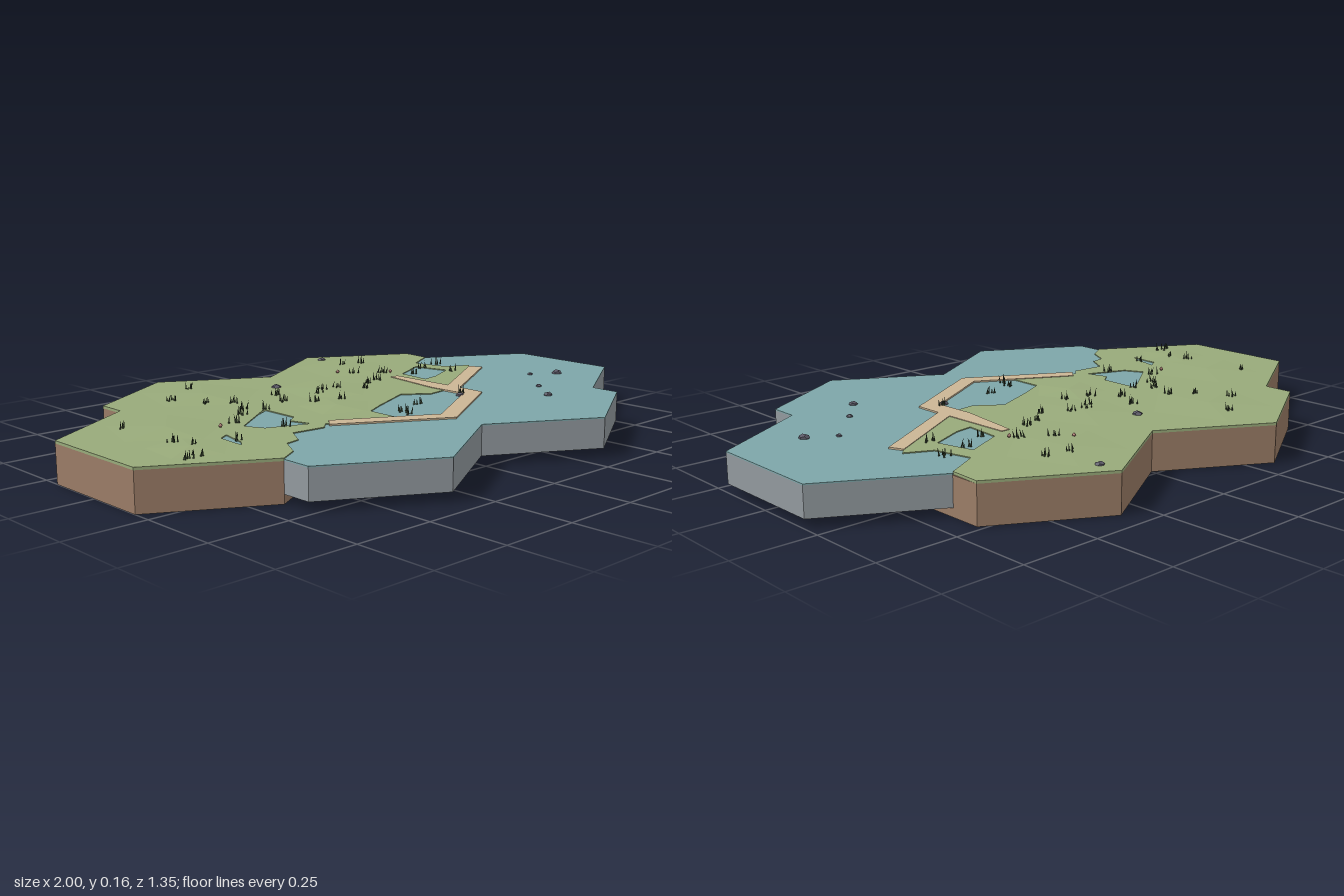
import * as THREE from 'three';
import { mergeGeometries } from 'three/addons/utils/BufferGeometryUtils.js';

const mat = (name, color) => {
  const m = new THREE.MeshStandardMaterial({ color });
  m.name = name;
  return m;
};

// Flat prism from [x, z] outline points, between two heights
function slab(name, points, y0, y1, material, holes = []) {
  const toVec = ([x, z]) => new THREE.Vector2(x, -z);
  const shape = new THREE.Shape(points.map(toVec));
  for (const h of holes) shape.holes.push(new THREE.Path(h.map(toVec)));
  const geo = new THREE.ExtrudeGeometry(shape, { depth: y1 - y0, bevelEnabled: false });
  geo.rotateX(-Math.PI / 2);
  geo.translate(0, y0, 0);
  const mesh = new THREE.Mesh(geo, material);
  mesh.name = name;
  return mesh;
}

export function createModel() {
  const group = new THREE.Group();
  let seed = 7;
  const rand = () => (seed = (seed * 16807) % 2147483647) / 2147483647;

  const grass = mat('grass green', 0x98aa7a);
  const water = mat('water blue', 0x7da6a9);
  const sand = mat('sand', 0xcbb594);
  const dirt = mat('dirt brown', 0x9a7c66);
  const stone = mat('stone grey', 0x92999e);
  const blade = mat('blade dark green', 0x37442f);
  const rock = mat('rock grey', 0x5c5a68);
  const petal = mat('petal pink', 0xb88478);

  // Outline of four overlapping hexagons; the water block is the same turned half round
  const land = [
    [-1, 0.192], [-0.667, 0.385], [-0.333, 0.192], [0, 0.385], [0.333, 0.192],
    [0.333, 0.096], [0.667, -0.096], [0.667, -0.481], [0.333, -0.674], [0, -0.481],
    [-0.333, -0.674], [-0.667, -0.481], [-0.667, -0.385], [-1, -0.192],
  ];
  const sea = land.map(([x, z]) => [-x, -z]);

  group.add(slab('landBase', land, 0, 0.117, dirt));
  group.add(slab('waterBase', sea, 0.027, 0.118, stone));
  group.add(slab('waterSurface', sea, 0.118, 0.122, water));

  // Meadow with an uneven shore and ponds cut through to the water
  const shore = [
    [-1, 0.192], [-0.667, 0.385], [-0.6, 0.345], [-0.56, 0.27], [-0.51, 0.26],
    [-0.47, 0.19], [-0.36, 0.2], [-0.33, 0.17], [-0.12, 0.26], [-0.12, 0.14],
    [-0.04, 0.1], [0.12, 0.03], [0.2, 0.09], [0.28, 0.08], [0.34, 0.06],
    [0.6, -0.09], [0.66, -0.16], [0.58, -0.2], [0.55, -0.32], [0.662, -0.38],
  ];
  const ponds = [
    [[-0.34, -0.1], [-0.52, 0.03], [-0.49, 0.09], [-0.36, 0.14], [-0.38, 0.07], [-0.34, 0.04]],
    [[-0.655, 0.1], [-0.62, 0.08], [-0.64, 0.17], [-0.66, 0.2]],
    [[0.36, -0.09], [0.37, -0.21], [0.5, -0.27], [0.53, -0.15], [0.42, -0.1]],
  ];
  group.add(slab('meadow', [...shore, ...land.slice(7)], 0.117, 0.125, grass, ponds));

  // Very low faceted swells in the meadow
  const swells = [
    [-0.7, -0.1, 0.18], [-0.35, -0.4, 0.2], [0.3, -0.42, 0.18],
    [0, -0.2, 0.16], [-0.15, 0.02, 0.12], [-0.78, 0.13, 0.12],
  ];
  swells.forEach(([x, z, r], i) => {
    const geo = new THREE.ConeGeometry(r, 0.006, 5, 1, true).toNonIndexed();
    geo.computeVertexNormals();
    const mesh = new THREE.Mesh(geo, grass);
    mesh.name = 'swell';
    mesh.position.set(x, 0.1282, z);
    mesh.rotation.y = i * 1.3;
    group.add(mesh);
  });

  // Sand strips along the hexagon edges
  const sandbar = (name, points) => group.add(slab(name, points, 0.119, 0.127, sand));
  sandbar('mainSandbar', [
    [-0.333, 0.19], [0, 0.382], [0.333, 0.19], [0.333, 0.094], [0.66, -0.096],
    [0.64, -0.14], [0.333, 0.04], [0.325, -0.19], [0.295, -0.19], [0.265, 0.03],
    [0.27, 0.165], [0, 0.32], [-0.3, 0.15],
  ]);

  // Grass tufts: a few leaning blades at each spot
  const tufts = [
    [-0.33, -0.5], [-0.48, -0.39], [-0.42, -0.29], [-0.36, -0.23], [-0.38, -0.14],
    [-0.22, -0.15], [-0.33, -0.1], [-0.79, -0.18], [-0.81, 0.21], [-0.76, 0.12],
    [-0.78, 0.05], [-0.52, -0.02], [-0.43, -0.09], [-0.43, 0.12], [-0.15, -0.08],
    [-0.06, -0.15], [-0.03, -0.18], [-0.07, -0.05], [0.03, -0.18], [0.1, -0.12],
    [0.17, -0.17], [0.23, -0.19], [0.32, -0.47], [0.4, -0.45], [0.25, -0.33],
    [0.33, -0.27], [0.59, -0.26], [0.54, -0.13], [0.41, -0.18], [-0.07, 0.24],
    [-0.05, 0.2], [0.06, 0.17], [0.27, 0.16], [-0.18, -0.24], [-0.63, 0.15],
    [-0.85, 0.22], [0.5, -0.23],
  ];
  const blades = [];
  for (const [x, z] of tufts) {
    for (let i = 0; i < 5; i++) {
      const h = 0.015 + rand() * 0.017;
      const geo = new THREE.ConeGeometry(0.0035, h, 3);
      geo.translate(0, h / 2, 0);
      geo.rotateX((rand() - 0.5) * 0.4);
      geo.rotateZ((rand() - 0.5) * 0.4);
      geo.translate(x + (rand() - 0.5) * 0.03, 0.124, z + (rand() - 0.5) * 0.025);
      blades.push(geo);
    }
  }
  const tuftMesh = new THREE.Mesh(mergeGeometries(blades), blade);
  tuftMesh.name = 'grassTufts';
  group.add(tuftMesh);

  // Rocks on land and in the water
  const rockSpots = [
    [0.34, -0.6, 0.015], [-0.1, -0.33, 0.017], [0.25, 0.17, 0.014], [0.46, 0.36, 0.014],
    [0.55, 0.25, 0.01], [0.775, 0.15, 0.017], [0.69, 0.1, 0.009],
  ];
  rockSpots.forEach(([x, z, r], i) => {
    const geo = new THREE.DodecahedronGeometry(r);
    const mesh = new THREE.Mesh(geo, rock);
    mesh.name = 'rock';
    mesh.position.set(x, 0.124, z);
    mesh.scale.y = 0.7;
    mesh.rotation.y = i;
    group.add(mesh);
  });

  // Small flowers
  for (const [x, z] of [[0.21, -0.37], [-0.58, 0.0], [0.35, -0.25]]) {
    const mesh = new THREE.Mesh(new THREE.OctahedronGeometry(0.008), petal);
    mesh.name = 'flower';
    mesh.position.set(x, 0.131, z);
    group.add(mesh);
  }
  return group;
}
